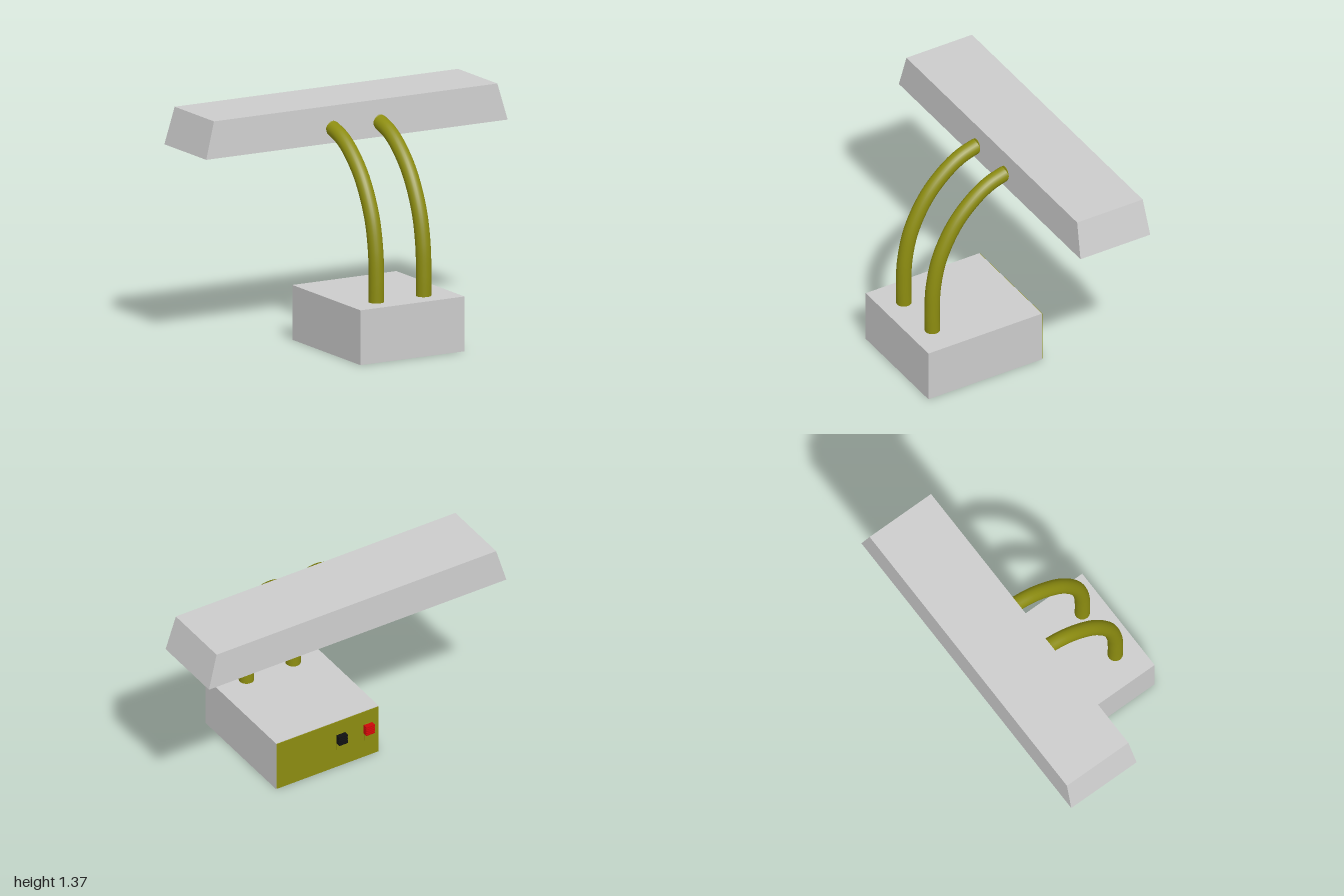
import * as THREE from 'three';

const mat = (color, extra = {}) => new THREE.MeshStandardMaterial({ color, ...extra });
const grey = mat(0xcccccc);
const greyFlat = mat(0xcccccc, { flatShading: true });
const olive = mat(0x8c8c10);
const black = mat(0x111111);
const red = mat(0xcc0808);

function add(parent, name, geometry, material, x = 0, y = 0, z = 0) {
  const mesh = new THREE.Mesh(geometry, material);
  mesh.name = name;
  mesh.position.set(x, y, z);
  parent.add(mesh);
  return mesh;
}

// Skin a list of rectangular rings [halfX, halfZ, y], capped at both ends
function rectLoft(rings) {
  const pos = [];
  const corner = ([hx, hz, y], i) =>
    [[hx, y, hz], [hx, y, -hz], [-hx, y, -hz], [-hx, y, hz]][i % 4];
  const quad = (a, b, c, d) => pos.push(...a, ...b, ...c, ...a, ...c, ...d);
  const first = rings[0], last = rings[rings.length - 1];
  quad(...[0, 1, 2, 3].map(i => corner(first, i)));
  for (let r = 0; r < rings.length - 1; r++) {
    for (let i = 0; i < 4; i++) {
      quad(corner(rings[r], i), corner(rings[r + 1], i),
        corner(rings[r + 1], i + 1), corner(rings[r], i + 1));
    }
  }
  quad(...[3, 2, 1, 0].map(i => corner(last, i)));
  const g = new THREE.BufferGeometry();
  g.setAttribute('position', new THREE.Float32BufferAttribute(pos, 3));
  g.computeVertexNormals();
  return g;
}

// Slide switch with a ribbed knob on a thin plate
function makeSwitch(name, material, x) {
  const g = new THREE.Group();
  g.name = name;
  add(g, 'switchPlate', new THREE.BoxGeometry(0.05, 0.11, 0.004), olive, 0, 0.175, -0.222);
  add(g, 'switchBody', new THREE.BoxGeometry(0.058, 0.058, 0.024), material, 0, 0.2, -0.234);
  for (let i = 0; i < 5; i++) {
    add(g, 'switchRib', new THREE.BoxGeometry(0.058, 0.007, 0.012), material,
      0, 0.1745 + i * 0.01275, -0.249);
  }
  g.position.x = x;
  return g;
}

export function createModel() {
  const model = new THREE.Group();
  model.name = 'deskLamp';

  // Base with coloured back panel
  add(model, 'base', new THREE.BoxGeometry(0.69, 0.32, 0.756), grey, 0, 0.16, 0.162);
  add(model, 'backPanel', new THREE.BoxGeometry(0.684, 0.314, 0.004), olive, 0, 0.16, -0.218);
  model.add(makeSwitch('blackSwitch', black, -0.085));
  model.add(makeSwitch('redSwitch', red, -0.268));

  // Pair of bent arms
  const path = new THREE.CatmullRomCurve3([
    [0.4, 0.3], [0.402, 0.45], [0.393, 0.62], [0.35, 0.81],
    [0.245, 1.01], [0.12, 1.14], [0.02, 1.205], [-0.085, 1.24],
  ].map(([z, y]) => new THREE.Vector3(0, y, z)));
  const armGeometry = new THREE.TubeGeometry(path, 40, 0.044, 24);
  for (const side of [-1, 1]) {
    add(model, side > 0 ? 'leftArm' : 'rightArm', armGeometry, olive, side * 0.157, 0, 0);
    // Disc closing the upper end of the arm
    add(model, 'armEnd', new THREE.SphereGeometry(0.043, 20, 12), olive, side * 0.157, 1.24, -0.085)
      .scale.z = 0.2;
  }

  // Hollow tapered shade, open underneath
  const head = new THREE.Group();
  head.name = 'lampHead';
  head.position.set(0, 1.155, -0.308);
  model.add(head);
  add(head, 'shade', rectLoft([
    [0.94, 0.218, 0.215], [1, 0.232, 0], [0.968, 0.2, 0], [0.912, 0.188, 0.185],
  ]), greyFlat);

  // Two fluorescent tubes with end sockets
  const bulb = new THREE.CylinderGeometry(0.05, 0.05, 1.85, 28).rotateZ(Math.PI / 2);
  const socket = new THREE.BoxGeometry(0.02, 0.05, 0.05);
  for (const side of [-1, 1]) {
    add(head, 'lightTube', bulb, grey, 0, 0.07, side * 0.108);
    for (const end of [-1, 1]) add(head, 'tubeSocket', socket, grey, end * 0.933, 0.07, side * 0.108);
  }
  return model;
}
